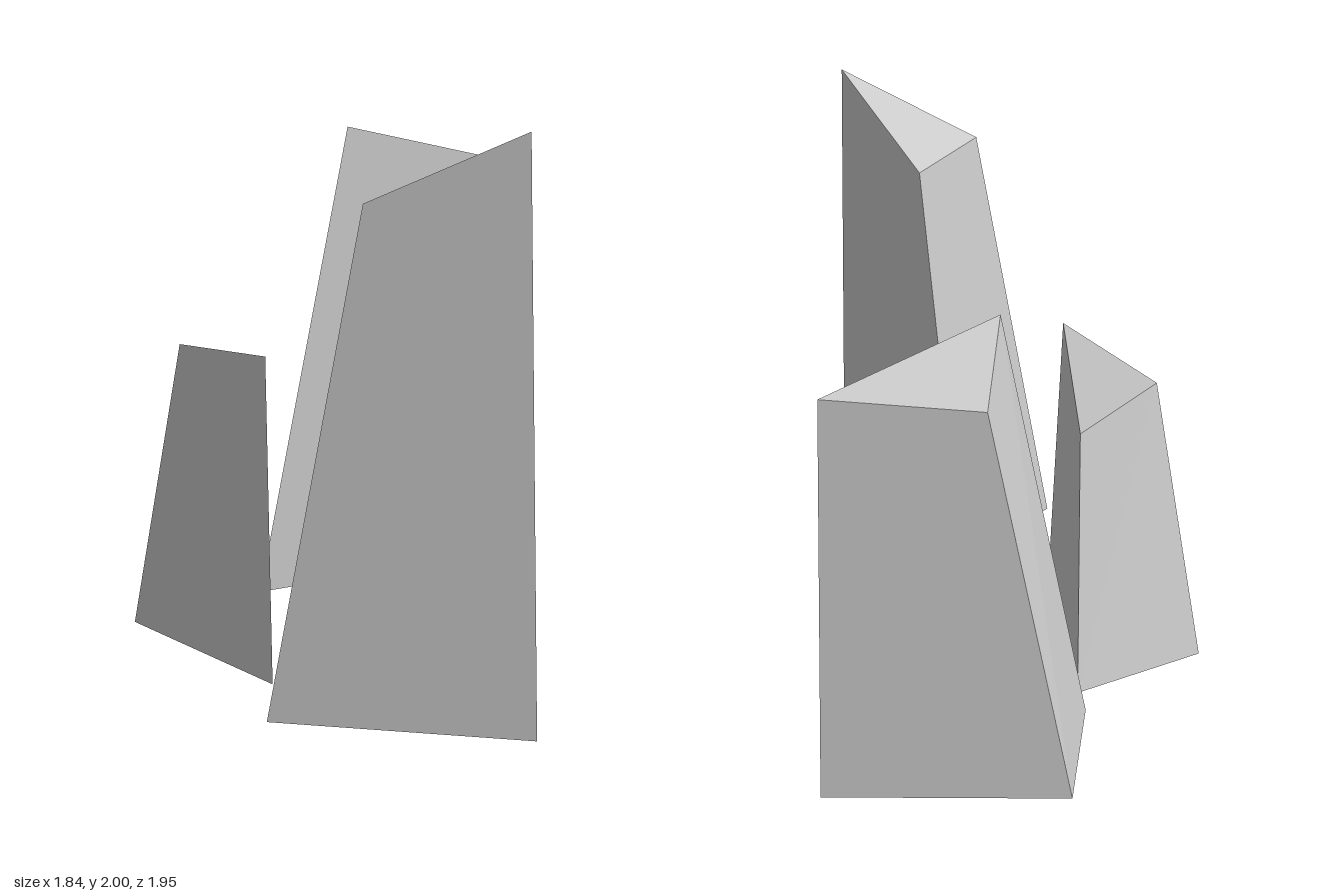
import * as THREE from 'three';

// Three-sided tapered shard: base corners [x, z] and top corners [x, y, z],
// both counter-clockwise seen from above.
function shardGeometry(base, top) {
  const b = base.map(([x, z]) => [x, 0, z]);
  const faces = [[top[0], top[1], top[2]], [b[0], b[2], b[1]]];
  for (let i = 0; i < 3; i++) {
    const j = (i + 1) % 3;
    faces.push([b[i], b[j], top[j]], [b[i], top[j], top[i]]);
  }
  const geometry = new THREE.BufferGeometry();
  geometry.setAttribute('position', new THREE.Float32BufferAttribute(faces.flat(2), 3));
  geometry.computeVertexNormals();
  return geometry;
}

export function createModel() {
  const model = new THREE.Group();
  model.name = 'crystalShards';
  const material = new THREE.MeshStandardMaterial({ color: 0xcccccc, flatShading: true });

  const shards = [
    {
      name: 'tallShard',
      base: [[0.08, 0.97], [0.92, 0.605], [0.185, 0.455]],
      top: [[0.375, 1.765, 0.81], [0.86, 2, 0.6], [0.43, 1.72, 0.507]],
    },
    {
      name: 'backShard',
      base: [[-0.92, -0.46], [-0.72, -0.035], [-0.17, -0.975]],
      top: [[-0.64, 1.67, -0.64], [-0.52, 1.86, -0.39], [-0.2, 1.71, -0.932]],
    },
    {
      name: 'shortShard',
      base: [[-0.92, 0.5], [-0.1, 0.7], [-0.645, 0.03]],
      top: [[-0.62, 1.145, 0.54], [-0.14, 1.18, 0.657], [-0.46, 1.005, 0.27]],
    },
  ];

  for (const { name, base, top } of shards) {
    const mesh = new THREE.Mesh(shardGeometry(base, top), material);
    mesh.name = name;
    model.add(mesh);
  }
  return model;
}
